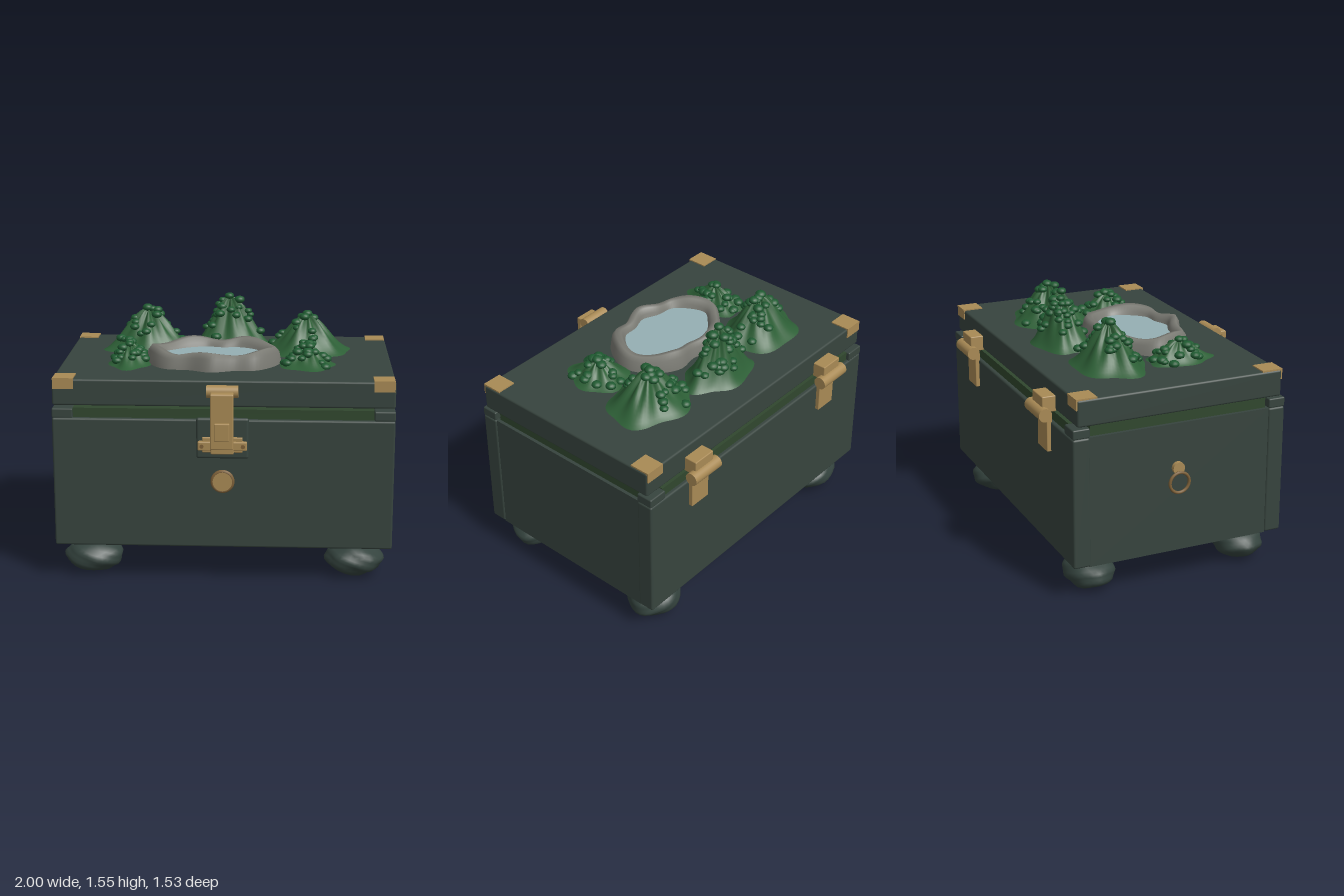
import * as THREE from 'three';
import { mergeGeometries, mergeVertices } from 'three/addons/utils/BufferGeometryUtils.js';
import { RoundedBoxGeometry } from 'three/addons/geometries/RoundedBoxGeometry.js';

const mat = (name, color) => Object.assign(new THREE.MeshStandardMaterial({ color }), { name });

export function createModel() {
  const root = new THREE.Group();
  root.name = 'treasureChest';
  const chest = mat('chestGreen', 0x37443e), brass = mat('brass', 0xa98a55), bronze = mat('bronze', 0x7d6038);
  const lining = mat('mossLining', 0x30472e), stone = mat('stone', 0x7a7a73), water = mat('water', 0x95afb3);
  const hill = mat('hillGreen', 0x2d5f36), leaf = mat('bushGreen', 0x1f5a31), foot = mat('footRock', 0x34433e);
  const CX = 0.0175;

  let seed = 7;
  const rand = () => (seed = (seed * 16807) % 2147483647) / 2147483647;

  const add = (name, geo, m, x = 0, y = 0, z = 0) => {
    const mesh = new THREE.Mesh(geo, m);
    mesh.name = name;
    mesh.position.set(x, y, z);
    root.add(mesh);
    return mesh;
  };
  // box given by its limits, with softened edges when r > 0
  const box = (name, m, x0, x1, y0, y1, z0, z1, r = 0) => {
    const s = [x1 - x0, y1 - y0, z1 - z0];
    const geo = r ? new RoundedBoxGeometry(...s, 2, r) : new THREE.BoxGeometry(...s);
    return add(name, geo, m, (x0 + x1) / 2, (y0 + y1) / 2, (z0 + z1) / 2);
  };
  const rod = (name, m, r, len, axis, x, y, z) => {
    const geo = new THREE.CylinderGeometry(r, r, len, 24);
    if (axis === 'x') geo.rotateZ(Math.PI / 2);
    if (axis === 'z') geo.rotateX(Math.PI / 2);
    return add(name, geo, m, x, y, z);
  };
  // smooth ball pushed in and out by layered waves
  const lump = (rx, ry, rz, detail, amount, phase) => {
    let geo = new THREE.IcosahedronGeometry(1, detail);
    geo.deleteAttribute('uv');
    geo.deleteAttribute('normal');
    geo = mergeVertices(geo, 1e-4);
    const p = geo.attributes.position, v = new THREE.Vector3();
    for (let i = 0; i < p.count; i++) {
      v.fromBufferAttribute(p, i);
      const k = 1 + amount * (Math.sin(4 * v.x + phase) * Math.cos(5 * v.z - phase) + 0.6 * Math.sin(8 * v.y + 6 * v.x + phase));
      p.setXYZ(i, v.x * k * rx, v.y * k * ry, v.z * k * rz);
    }
    geo.computeVertexNormals();
    return geo;
  };

  // chest body: front and back boards, recessed sides, floor
  box('frontPanel', chest, -0.965, 1, 0.22, 0.99, 0.531, 0.633, 0.012);
  box('backPanel', chest, -0.965, 1, 0.22, 0.99, -0.678, -0.576, 0.012);
  box('basePlate', chest, -0.88, 0.915, 0.187, 0.235, -0.58, 0.533, 0.01);
  for (const s of [-1, 1]) {
    const o = CX + s * 0.975, i = CX + s * 0.875;
    box('sidePanel', chest, Math.min(o, i), Math.max(o, i), 0.215, 0.99, -0.58, 0.535);
    // rim: corner blocks joined by moss strips
    const c = CX + s * 0.9825, d = CX + s * 0.8625;
    for (const [z0, z1] of [[0.531, 0.633], [-0.678, -0.576]])
      box('rimCorner', chest, Math.min(c, d), Math.max(c, d), 0.99, 1.046, z0, z1, 0.008);
    const e = CX + s * 0.955;
    box('sideRimStrip', lining, Math.min(e, d), Math.max(e, d), 0.985, 1.05, -0.567, 0.52);
  }
  box('frontRimStrip', lining, -0.845, 0.88, 0.985, 1.046, 0.535, 0.61);
  box('backRimStrip', lining, -0.845, 0.88, 0.985, 1.046, -0.655, -0.58);

  // lid with brass corner caps
  box('lid', chest, -0.965, 1, 1.057, 1.212, -0.65, 0.605, 0.012);
  for (const s of [-1, 1]) for (const f of [-1, 1]) {
    const x = CX + s * 0.9175, edge = f > 0 ? 0.606 : -0.651;
    add('cornerCapTop', new THREE.BoxGeometry(0.12, 0.012, 0.124), brass, x, 1.213, edge - f * 0.058);
    add('cornerCapFace', new THREE.BoxGeometry(0.12, 0.064, 0.01), brass, x, 1.187, edge);
  }

  // rocky feet
  [[-0.757, 0.457], [0.79, 0.457], [-0.757, -0.505], [0.79, -0.505]].forEach(([x, z], i) =>
    add('foot', lump(0.172, 0.095, 0.145, 5, 0.05, i * 1.7), foot, x, 0.104, z));

  // front latch
  box('latchBackplate', chest, -0.134, 0.166, 0.765, 1.005, 0.625, 0.657, 0.014);
  rod('latchPivot', brass, 0.036, 0.18, 'x', 0.016, 1.163, 0.66);
  box('latchArm', brass, -0.05, 0.082, 1.137, 1.167, 0.66, 0.745, 0.008);
  box('latchStrap', brass, -0.05, 0.082, 0.842, 1.165, 0.715, 0.747, 0.008);
  box('latchPad', brass, -0.027, 0.06, 0.895, 1, 0.74, 0.764, 0.006);
  box('latchKeeper', brass, -0.125, 0.157, 0.818, 0.872, 0.65, 0.682, 0.008);
  box('latchCatch', brass, -0.1, 0.132, 0.805, 0.895, 0.65, 0.67, 0.006);
  box('latchLoop', brass, -0.05, 0.082, 0.8, 0.86, 0.67, 0.69, 0.006);
  for (const s of [-1, 1]) rod('latchRivet', bronze, 0.012, 0.01, 'z', 0.016 + s * 0.118, 0.845, 0.683);

  // round medallion below the latch
  rod('medallion', brass, 0.056, 0.022, 'z', 0.016, 0.626, 0.645);
  add('medallionRing', new THREE.TorusGeometry(0.058, 0.012, 10, 32), bronze, 0.016, 0.626, 0.644);

  // pull ring on the right wall
  rod('ringPost', brass, 0.036, 0.025, 'x', -0.97, 0.727, -0.043);
  const ring = add('pullRing', new THREE.TorusGeometry(0.06, 0.009, 10, 32), bronze, -0.989, 0.645, -0.043);
  ring.rotation.y = Math.PI / 2;

  // rear hinges
  for (const x of [-0.58, 0.61]) {
    box('hingeBlock', brass, x - 0.075, x + 0.075, 1.05, 1.144, -0.73, -0.645, 0.006);
    rod('hingeBarrel', brass, 0.039, 0.22, 'x', x, 1.047, -0.725);
    box('hingeLeaf', brass, x - 0.07, x + 0.07, 0.814, 1.03, -0.702, -0.67, 0.004);
  }

  // pond: wavy stone rim swept from rings of one outline
  const PX = -0.06, PZ = 0.118;
  const outline = new THREE.CatmullRomCurve3([
    [-0.255, -0.13], [-0.13, -0.165], [0, -0.135], [0.13, -0.15], [0.25, -0.08], [0.342, 0.07], [0.315, 0.21],
    [0.2, 0.345], [0.07, 0.36], [-0.065, 0.406], [-0.2, 0.35], [-0.33, 0.33], [-0.415, 0.24], [-0.465, 0.08], [-0.37, -0.04],
  ].map(([x, z]) => new THREE.Vector3(x - PX, 0, z - PZ)), true);
  const N = 96, pts = outline.getPoints(N).slice(0, N);
  const rings = [[1, 1, 0], [0.97, 0.97, 0.07], [0.91, 0.9, 0.1], [0.83, 0.79, 0.095], [0.78, 0.74, 0.065], [0.74, 0.69, 0.03]];
  const pos = [], idx = [];
  rings.forEach(([sx, sz, h], j) => pts.forEach((p, i) => {
    const wave = 1 + 0.12 * Math.sin(i / N * Math.PI * 10 + 1);
    pos.push(p.x * sx, h * wave, p.z * sz);
    if (j) {
      const a = (j - 1) * N + i, b = (j - 1) * N + (i + 1) % N, c = a + N, d = b + N;
      idx.push(a, c, b, b, c, d);
    }
  }));
  const rim = new THREE.BufferGeometry();
  rim.setAttribute('position', new THREE.Float32BufferAttribute(pos, 3));
  rim.setIndex(idx);
  rim.computeVertexNormals();
  stone.side = THREE.DoubleSide;
  add('pondRim', rim, stone, PX, 1.21, PZ);
  const pool = new THREE.ShapeGeometry(new THREE.Shape(pts.map(p => new THREE.Vector2(p.x * 0.765, -p.z * 0.72))));
  add('pondWater', pool.rotateX(-Math.PI / 2), water, PX, 1.26, PZ);

  // hills: x, z, half width, half depth, height, then bush clusters as x, z, spread, count
  const hills = [
    [-0.48, -0.25, 0.275, 0.215, 0.26, [[-0.56, -0.2, 0.11, 18], [-0.35, -0.3, 0.1, 11], [-0.46, -0.25, 0.06, 7]]],
    [0.02, -0.34, 0.255, 0.17, 0.32, [[-0.1, -0.32, 0.1, 12], [0.02, -0.35, 0.11, 20], [0.12, -0.35, 0.09, 10]]],
    [0.5, -0.225, 0.27, 0.23, 0.23, [[0.37, -0.32, 0.1, 14], [0.48, -0.22, 0.07, 8], [0.5, -0.07, 0.07, 7], [0.51, -0.35, 0.05, 4]]],
    [-0.555, 0.16, 0.135, 0.21, 0.125, [[-0.56, 0.08, 0.1, 12], [-0.55, 0.23, 0.1, 14]]],
    [0.495, 0.17, 0.175, 0.19, 0.125, [[0.42, 0.22, 0.09, 10], [0.51, 0.11, 0.1, 9], [0.57, 0.22, 0.07, 7]]],
  ];
  hills.forEach(([hx, hz, rx, rz, h, clusters], n) => {
    const reach = a => 0.98 + 0.07 * Math.sin(5 * a + n * 2) + 0.04 * Math.sin(3 * a + n);
    const height = (a, t) => {
      const crease = 1 + 0.12 * Math.sin(9 * a + n) * Math.sin(Math.PI * Math.min(t, 1));
      return h * crease * (0.45 * (1 - t) + 0.55 * (0.5 + 0.5 * Math.cos(Math.PI * Math.min(t, 1))));
    };
    const A = 60, R = 14, hp = [0, height(0, 0), 0], hi = [];
    for (let j = 1; j <= R; j++) for (let i = 0; i < A; i++) {
      const a = i / A * Math.PI * 2, t = j / R, r = reach(a) * t;
      hp.push(Math.cos(a) * r * rx, height(a, t), Math.sin(a) * r * rz);
      const k = 1 + (j - 1) * A, q = (i + 1) % A;
      if (j === 1) hi.push(0, 1 + q, 1 + i);
      else hi.push(k - A + i, k - A + q, k + i, k - A + q, k + q, k + i);
    }
    const geo = new THREE.BufferGeometry();
    geo.setAttribute('position', new THREE.Float32BufferAttribute(hp, 3));
    geo.setIndex(hi);
    geo.computeVertexNormals();
    add('hill', geo, hill, hx, 1.21, hz);

    // bushes settled on the slope
    const bushes = [];
    for (const [cx, cz, spread, count] of clusters) for (let i = 0; i < count; i++) {
      const d = spread * Math.sqrt(rand()), g = rand() * Math.PI * 2;
      const x = cx - hx + Math.cos(g) * d, z = cz - hz + Math.sin(g) * d;
      const a = Math.atan2(z / rz, x / rx), t = Math.hypot(x / rx, z / rz) / reach(a);
      if (t > 0.92) continue;
      const s = 0.024 + rand() * 0.009;
      bushes.push(lump(s, s * 0.7, s, 2, 0.04, i).translate(x, height(a, t) + 0.006, z));
    }
    add('bushes', mergeGeometries(bushes), leaf, hx, 1.21, hz);
  });
  return root;
}
